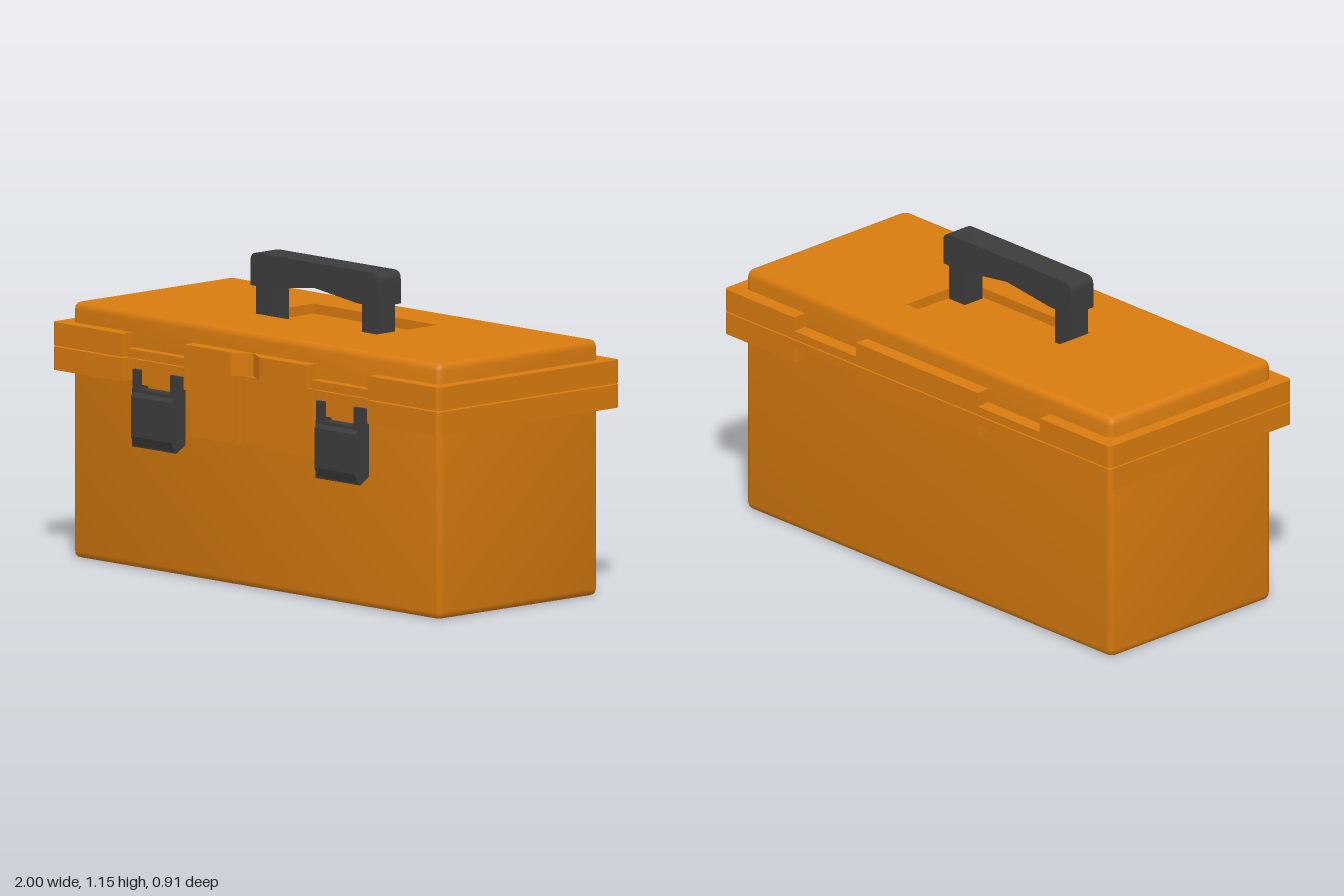
import * as THREE from 'three';
import { toCreasedNormals } from 'three/addons/utils/BufferGeometryUtils.js';

const orange = new THREE.MeshStandardMaterial({ color: 0xd87b0e });
orange.name = 'orange plastic';
const dark = new THREE.MeshStandardMaterial({ color: 0x3c3c3c });
dark.name = 'dark grey plastic';

const SEAM_LOW = 0.764, SEAM_HIGH = 0.769;

function add(group, geometry, material, name) {
  const mesh = new THREE.Mesh(geometry, material);
  mesh.name = name;
  group.add(mesh);
  return mesh;
}

function box(x0, x1, y0, y1, z0, z1) {
  return new THREE.BoxGeometry(x1 - x0, y1 - y0, z1 - z0)
    .translate((x0 + x1) / 2, (y0 + y1) / 2, (z0 + z1) / 2);
}

// Plan outline (x, -z) extruded upwards from y0 to y1
function slab(shape, y0, y1) {
  return new THREE.ExtrudeGeometry(shape, { depth: y1 - y0, bevelEnabled: false, curveSegments: 5 })
    .rotateX(-Math.PI / 2).translate(0, y0, 0);
}

// Side profile of [z, y] points extruded from x0 to x1
function sideProfile(points, x0, x1) {
  const shape = new THREE.Shape(points.map(([z, y]) => new THREE.Vector2(-z, y)));
  return new THREE.ExtrudeGeometry(shape, { depth: x1 - x0, bevelEnabled: false })
    .rotateY(Math.PI / 2).translate(x0, 0, 0);
}

// Rounded rectangle as a counter-clockwise loop in plan
function roundedLoop(x, zBack, zFront, r, inset) {
  const rad = Math.max(r - inset, 0.006), points = [];
  const corners = [[x, zBack], [-x, zBack], [-x, zFront], [x, zFront]];
  corners.forEach(([cx, cz], k) => {
    const px = Math.sign(cx) * (x - inset - rad);
    const pz = cz === zBack ? -zBack - inset - rad : -zFront + inset + rad;
    for (let i = 0; i <= 5; i++) {
      const a = (k + i / 5) * Math.PI / 2;
      points.push(new THREE.Vector2(px + rad * Math.cos(a), pz + rad * Math.sin(a)));
    }
  });
  return points;
}

// Wall skinned through rounded loops; each profile step is [inset, y]
function tray(group, name, profile, hole) {
  const loops = profile.map(([inset]) => roundedLoop(0.95, -0.4, 0.395, 0.03, inset));
  const n = loops[0].length, position = [], index = [];
  loops.forEach((loop, j) => loop.forEach(p => position.push(p.x, profile[j][1], -p.y)));
  for (let j = 0; j < loops.length - 1; j++) {
    for (let i = 0; i < n; i++) {
      const a = j * n + i, b = j * n + (i + 1) % n;
      index.push(a, b, b + n, a, b + n, a + n);
    }
  }
  const wall = new THREE.BufferGeometry();
  wall.setAttribute('position', new THREE.Float32BufferAttribute(position, 3));
  wall.setIndex(index);
  add(group, toCreasedNormals(wall, 0.7), orange, name + 'Wall');

  const last = profile.length - 1;
  const top = new THREE.Shape(loops[last]);
  if (hole) top.holes.push(hole);
  add(group, new THREE.ShapeGeometry(top).rotateX(-Math.PI / 2)
    .translate(0, profile[last][1], 0), orange, name + 'Top');
  const bottom = new THREE.Shape(loops[0].map(p => new THREE.Vector2(p.x, -p.y)));
  add(group, new THREE.ShapeGeometry(bottom).rotateX(Math.PI / 2)
    .translate(0, profile[0][1], 0), orange, name + 'Bottom');
}

// Corner flange: one whole end of the box, rounded at the outer corners
function endShape(side) {
  const s = new THREE.Shape();
  s.moveTo(side * 0.635, -0.445);
  s.lineTo(side * 0.98, -0.445);
  s.quadraticCurveTo(side, -0.445, side, -0.425);
  s.lineTo(side, 0.435);
  s.quadraticCurveTo(side, 0.455, side * 0.98, 0.455);
  s.lineTo(side * 0.635, 0.455);
  return s;
}

function createLatch(side) {
  const latch = new THREE.Group();
  latch.name = side > 0 ? 'leftLatch' : 'rightLatch';
  add(latch, sideProfile([[0.39, 0.66], [0.44, 0.66], [0.44, 0.45], [0.39, 0.48]], -0.115, 0.115), dark, 'latchPlate');
  add(latch, sideProfile([[0.435, 0.65], [0.445, 0.645], [0.455, 0.635], [0.455, 0.49], [0.44, 0.455], [0.435, 0.455]],
    -0.105, 0.105), dark, 'latchPad');
  for (const s of [-1, 1]) {
    add(latch, box(s * 0.097 - 0.018, s * 0.097 + 0.018, 0.65, 0.73, 0.39, 0.438), dark, 'latchArm');
    add(latch, box(s * 0.127 - 0.008, s * 0.127 + 0.008, 0.68, 0.735, 0.385, 0.41), orange, 'latchGuide');
  }
  add(latch, box(-0.078, 0.078, 0.675, 0.735, 0.385, 0.425), orange, 'latchCatch');
  latch.position.x = side * 0.475;
  return latch;
}

export function createModel() {
  const model = new THREE.Group();
  model.name = 'toolbox';

  // Main box and lid
  const body = new THREE.Group();
  body.name = 'body';
  tray(body, 'body', [[0.022, 0], [0.01, 0.004], [0.003, 0.012], [0, 0.025], [0, SEAM_LOW]]);
  const lid = new THREE.Group();
  lid.name = 'lid';
  const hole = new THREE.Path([[-0.32, 0.2], [0.32, 0.2], [0.32, -0.1], [-0.32, -0.1]]
    .map(p => new THREE.Vector2(...p)));
  tray(lid, 'lid', [[0, SEAM_HIGH], [0, 0.9], [0.003, 0.913], [0.01, 0.922], [0.022, 0.926]], hole);

  // Sunken handle well, facing inwards
  const well = box(-0.32, 0.32, 0.89, 0.926, -0.2, 0.1);
  well.translate(0, 0, 0.05).scale(1, 1, -1).translate(0, 0, 0.05 - 0.05);
  well.computeBoundingBox();
  well.translate(0, 0, -0.2 - well.boundingBox.min.z);
  well.computeVertexNormals();
  add(lid, well, orange, 'handleWell');

  // Stepped flanges around the seam
  for (const s of [-1, 1]) {
    add(body, slab(endShape(s), 0.68, SEAM_LOW), orange, 'lowerEndFlange');
    add(lid, slab(endShape(s), SEAM_HIGH, 0.853), orange, 'upperEndFlange');
    const x = s * 0.475;
    add(body, box(x - 0.16, x + 0.16, 0.73, SEAM_LOW, -0.455, -0.38), orange, 'lowerBackStrip');
    add(lid, box(x - 0.16, x + 0.16, SEAM_HIGH, 0.8, -0.455, -0.38), orange, 'upperBackStrip');
    add(body, box(x - 0.145, x + 0.145, 0.73, SEAM_LOW, 0.38, 0.425), orange, 'lowerFrontStrip');
    add(lid, box(x - 0.148, x + 0.148, SEAM_HIGH, 0.8, 0.38, 0.43), orange, 'upperFrontStrip');
    // Raised panels either side of the centre tongue
    add(body, box(s * 0.1925 - 0.1225, s * 0.1925 + 0.1225, 0.515, SEAM_LOW, 0.385, 0.415), orange, 'frontPanel');
    model.add(createLatch(s));
  }
  add(body, box(-0.315, 0.315, 0.68, SEAM_LOW, -0.455, -0.38), orange, 'lowerBackCentre');
  add(lid, box(-0.315, 0.315, SEAM_HIGH, 0.853, -0.455, -0.38), orange, 'upperBackCentre');
  add(body, box(-0.07, 0.07, 0.53, SEAM_LOW, 0.385, 0.401), orange, 'centreTongue');

  // Front lip with a V notch
  const lip = new THREE.Shape([[-0.315, 0.38], [-0.315, 0.445], [-0.075, 0.445], [0, 0.402],
    [0.075, 0.445], [0.315, 0.445], [0.315, 0.38]].map(([x, z]) => new THREE.Vector2(x, -z)));
  add(lid, slab(lip, SEAM_HIGH, 0.853), orange, 'frontLip');

  // Carrying handle
  const handle = new THREE.Group();
  handle.name = 'handle';
  const grip = new THREE.Shape();
  grip.moveTo(-0.33, 1.027);
  grip.lineTo(-0.225, 1.027);
  grip.lineTo(0, 1.056);
  grip.lineTo(0.225, 1.027);
  grip.lineTo(0.33, 1.027);
  grip.lineTo(0.33, 1.115);
  grip.quadraticCurveTo(0.33, 1.147, 0.298, 1.147);
  grip.lineTo(-0.298, 1.147);
  grip.quadraticCurveTo(-0.33, 1.147, -0.33, 1.115);
  const gripGeometry = new THREE.ExtrudeGeometry(grip, { depth: 0.112, bevelEnabled: false, curveSegments: 6 });
  add(handle, toCreasedNormals(gripGeometry.translate(0, 0, -0.01), 0.6), dark, 'grip');
  for (const s of [-1, 1]) {
    add(handle, box(s * 0.274 - 0.041, s * 0.274 + 0.041, 0.89, 1.03, 0.004, 0.09), dark, 'handleLeg');
  }

  model.add(body, lid, handle);
  return model;
}
